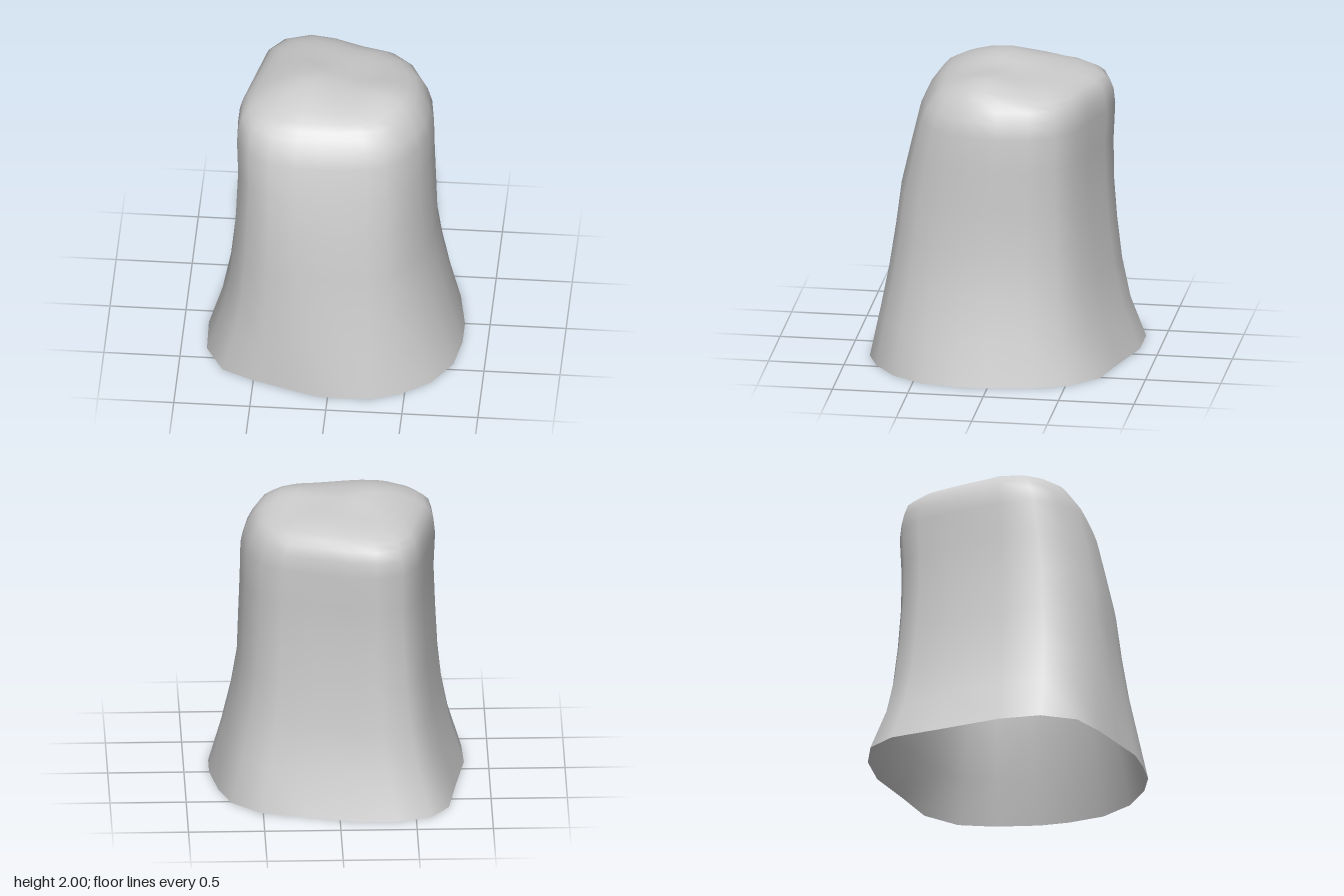
import * as THREE from 'three';

// Foot and neck outlines as [x, z], starting at the back and running towards +x
const foot = [
  [-0.38, -0.87], [-0.11, -0.87], [0.2, -0.78], [0.51, -0.7], [0.7, -0.52], [0.78, -0.29],
  [0.83, 0], [0.83, 0.2], [0.79, 0.44], [0.66, 0.65], [0.47, 0.79], [0.29, 0.86], [0.1, 0.87],
  [-0.08, 0.86], [-0.29, 0.79], [-0.5, 0.72], [-0.71, 0.62], [-0.83, 0.4], [-0.84, 0.12],
  [-0.77, -0.3], [-0.72, -0.63], [-0.6, -0.8],
];
const neck = [
  [-0.25, -0.69], [-0.07, -0.66], [0.15, -0.58], [0.37, -0.525], [0.51, -0.41], [0.6, -0.24],
  [0.63, -0.02], [0.61, 0.14], [0.56, 0.28], [0.47, 0.41], [0.36, 0.5], [0.23, 0.53], [0.08, 0.55],
  [-0.08, 0.56], [-0.24, 0.56], [-0.41, 0.54], [-0.555, 0.44], [-0.64, 0.3], [-0.65, 0.08],
  [-0.57, -0.28], [-0.52, -0.5], [-0.42, -0.63],
];

// Wall levels: height, blend from foot to neck, then reach to -x, +x, -z, +z
const levels = [
  [0, 0, 0.84, 0.835, 0.87, 0.87],
  [0.29, 0.4, 0.75, 0.76, 0.775, 0.815],
  [0.57, 0.67, 0.695, 0.7, 0.725, 0.765],
  [0.86, 0.83, 0.665, 0.655, 0.695, 0.725],
  [1.15, 0.92, 0.65, 0.645, 0.675, 0.69],
  [1.42, 1, 0.64, 0.635, 0.675, 0.63],
  [1.65, 1, 0.65, 0.63, 0.685, 0.575],
  [1.75, 1, 0.64, 0.6, 0.675, 0.53],
  [1.82, 1, 0.62, 0.565, 0.65, 0.48],
];

function wallRing([y, blend, left, right, back, front]) {
  const pts = foot.map(([x, z], i) => [
    THREE.MathUtils.lerp(x, neck[i][0], blend),
    THREE.MathUtils.lerp(z, neck[i][1], blend),
  ]);
  const xs = pts.map((p) => p[0]), zs = pts.map((p) => p[1]);
  const minX = -Math.min(...xs), maxX = Math.max(...xs);
  const minZ = -Math.min(...zs), maxZ = Math.max(...zs);
  return pts.map(([x, z]) => [
    x * (x < 0 ? left / minX : right / maxX), y,
    z * (z < 0 ? back / minZ : front / maxZ),
  ]);
}

// Uneven top: a main hump, a smaller one and a rounded drop at the rim
const hump = (x, z, cx, cz, r) => Math.exp(-((x - cx) ** 2 + (z - cz) ** 2) / (r * r));
const capHeight = (x, z, s) =>
  1.93 - 0.105 * s ** 5 + 0.07 * hump(x, z, -0.2, 0.03, 0.27) + 0.05 * hump(x, z, 0.34, 0.1, 0.2);

function createShell() {
  const rings = levels.map(wallRing);
  const rim = rings[rings.length - 1];
  const cx = -0.04, cz = -0.06;
  for (const s of [0.93, 0.84, 0.7, 0.53, 0.36, 0.18]) {
    rings.push(rim.map(([px, , pz]) => {
      const x = cx + (px - cx) * s, z = cz + (pz - cz) * s;
      return [x, capHeight(x, z, s), z];
    }));
  }

  const n = foot.length;
  const positions = rings.flat(2);
  positions.push(cx, capHeight(cx, cz, 0), cz);
  const index = [];
  for (let r = 0; r < rings.length; r++) {
    for (let i = 0; i < n; i++) {
      const j = (i + 1) % n, a = r * n + i, b = r * n + j;
      if (r === rings.length - 1) index.push(a, rings.length * n, b);
      else index.push(a, a + n, b + n, a, b + n, b);
    }
  }
  const geometry = new THREE.BufferGeometry();
  geometry.setAttribute('position', new THREE.Float32BufferAttribute(positions, 3));
  geometry.setIndex(index);
  geometry.computeVertexNormals();
  return geometry;
}

export function createModel() {
  const group = new THREE.Group();
  group.name = 'flaredStump';
  // Thin shell, closed on top and open underneath
  const shell = new THREE.Mesh(
    createShell(),
    new THREE.MeshStandardMaterial({ color: 0xcccccc, side: THREE.DoubleSide }),
  );
  shell.name = 'shell';
  group.add(shell);
  return group;
}
